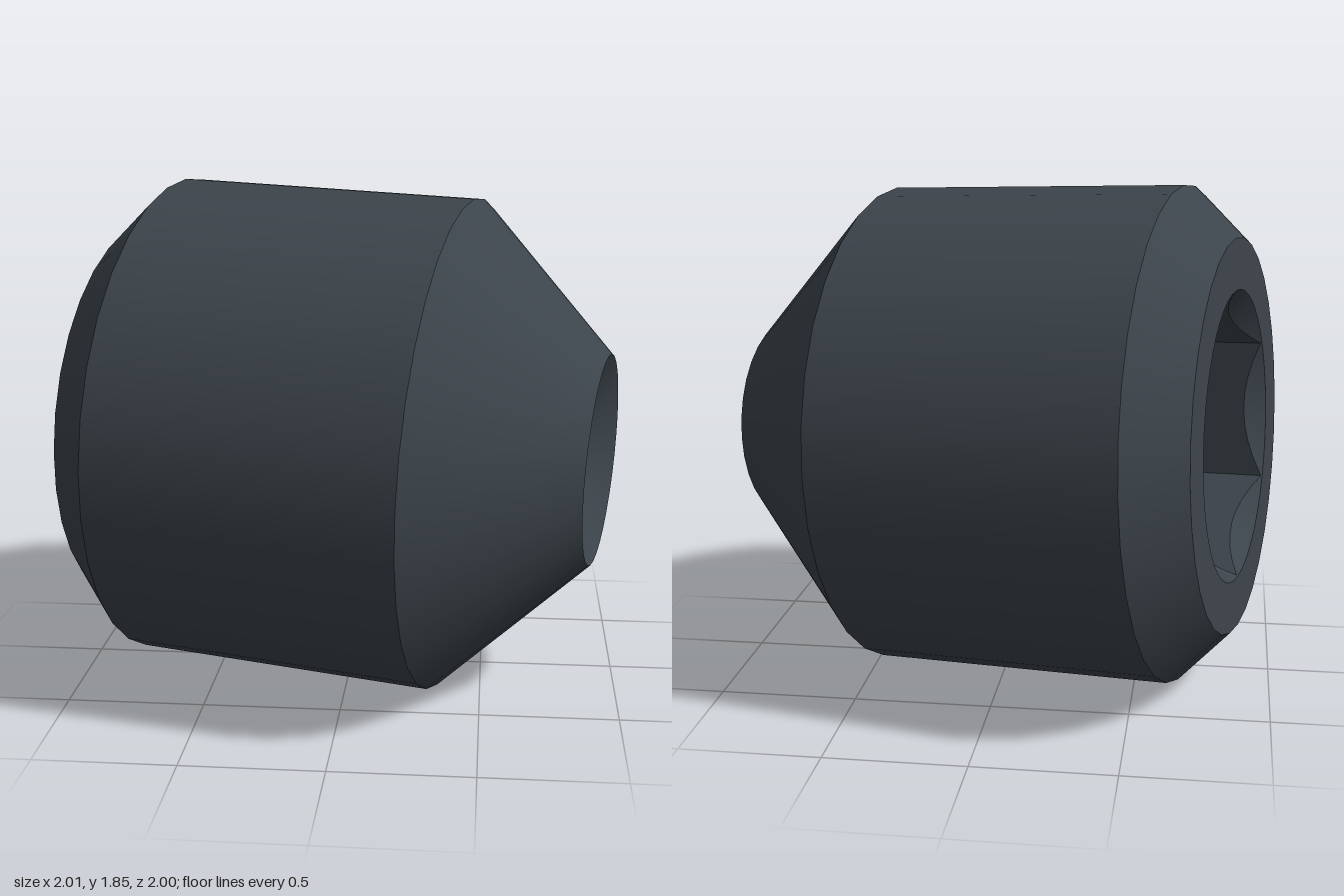
import * as THREE from 'three';

const SIDES = 32;
const R = 0.903;            // body radius
const BACK = -0.187;        // socket face, along the axis
const FACE_R = 0.716;
const RIM_R = 0.53;         // countersink circle around the hex
const FLAT = 0.455;         // half width across the hex flats
const SOCKET_DEPTH = 0.75;
const TIP = 1.627;
const TIP_R = 0.384;

export function createModel() {
  const steel = new THREE.MeshStandardMaterial({ color: 0x3c444b });
  steel.name = 'darkSteel';
  const screw = new THREE.Group();
  screw.name = 'setScrew';

  const add = (name, geometry) => {
    const mesh = new THREE.Mesh(geometry, steel);
    mesh.name = name;
    screw.add(mesh);
  };

  // One smooth turned band about the local z axis
  const band = (name, r0, z0, r1, z1) => {
    const profile = [new THREE.Vector2(r0, z0), new THREE.Vector2(r1, z1)];
    add(name, new THREE.LatheGeometry(profile, SIDES).rotateX(Math.PI / 2));
  };
  band('rearChamfer', FACE_R, BACK, R, 0);
  band('body', R, 0, R, 1.107);
  band('pointCone', R, 1.107, TIP_R, TIP);
  band('cupPoint', TIP_R, TIP, 0, TIP - 0.21);

  // Inward-facing strip between two closed loops given as angle -> [radius, z]
  const N = 48;
  const strip = (outer, inner) => {
    const pos = [], index = [];
    for (let i = 0; i < N; i++) {
      const a = (i / N) * Math.PI * 2;
      for (const [r, z] of [outer(a), inner(a)]) pos.push(r * Math.cos(a), r * Math.sin(a), z);
      const p = 2 * i, q = 2 * ((i + 1) % N);
      index.push(p, p + 1, q, q, p + 1, q + 1);
    }
    const g = new THREE.BufferGeometry();
    g.setAttribute('position', new THREE.Float32BufferAttribute(pos, 3));
    g.setIndex(index);
    return g;
  };
  const sixth = Math.PI / 3;
  const hexRadius = (a) => FLAT / Math.cos(((a + sixth / 2) % sixth) - sixth / 2);
  const chamferEdge = (a) => [hexRadius(a), BACK + (RIM_R - hexRadius(a)) * 0.95];

  // Ring face around the socket
  const circle = (r, n) => Array.from({ length: n }, (_, i) => {
    const a = (i / n) * Math.PI * 2;
    return new THREE.Vector2(r * Math.cos(a), r * Math.sin(a));
  });
  const ring = new THREE.Shape(circle(FACE_R, SIDES));
  ring.holes.push(new THREE.Path(circle(RIM_R, N)));
  add('rearFace', new THREE.ShapeGeometry(ring).rotateX(Math.PI).translate(0, 0, BACK));

  // Hex socket: countersink, flat walls and floor
  const countersink = strip(() => [RIM_R, BACK], chamferEdge);
  countersink.computeVertexNormals();
  add('socketCountersink', countersink);

  const floorZ = BACK + SOCKET_DEPTH;
  const walls = strip(chamferEdge, (a) => [hexRadius(a), floorZ]).toNonIndexed();
  walls.computeVertexNormals();
  add('socketWalls', walls);

  const floor = new THREE.CircleGeometry(FLAT / Math.cos(sixth / 2), 6, Math.PI / 2);
  add('socketFloor', floor.rotateX(Math.PI).translate(0, 0, floorZ));

  // Lay the axis at its slight tilt
  const axis = new THREE.Vector3(0.977, -0.038, 0.208).normalize();
  const side = new THREE.Vector3(0, 1, 0).cross(axis).normalize();
  const up = axis.clone().cross(side);
  screw.quaternion.setFromRotationMatrix(new THREE.Matrix4().makeBasis(side, up, axis));
  screw.position.set(-0.67, 0.947, -0.117);

  const model = new THREE.Group();
  model.name = 'model';
  model.add(screw);
  return model;
}
